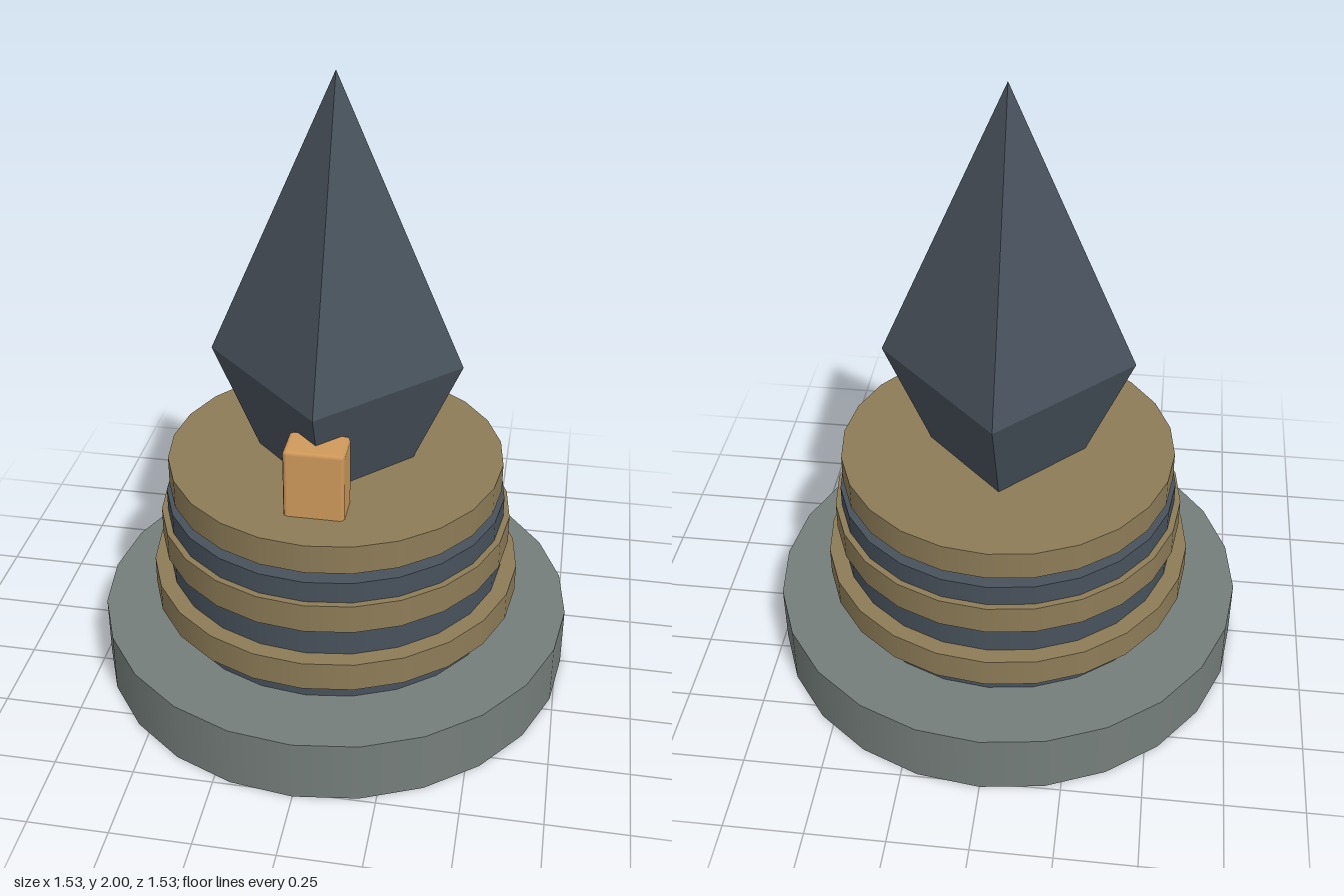
import * as THREE from 'three';
import { RoundedBoxGeometry } from 'three/addons/geometries/RoundedBoxGeometry.js';

const material = (name, color) => {
  const m = new THREE.MeshStandardMaterial({ color });
  m.name = name;
  return m;
};

export function createModel() {
  const stone = material('grey stone', 0x757e7b);
  const slate = material('dark slate', 0x48525c);
  const brass = material('aged brass', 0x8d7c57);
  const amber = material('amber', 0xd09a5a);

  const model = new THREE.Group();
  model.name = 'crystalPedestal';

  const add = (name, geometry, mat, y, z = 0) => {
    const mesh = new THREE.Mesh(geometry, mat);
    mesh.name = name;
    mesh.position.set(0, y, z);
    model.add(mesh);
    return mesh;
  };

  // Round tiers: name, radius, bottom, top, material
  const tiers = [
    ['base', 0.767, 0, 0.205, stone],
    ['column', 0.545, 0.205, 0.632, slate],
    ['lowerBand', 0.597, 0.275, 0.37, brass],
    ['middleBand', 0.565, 0.467, 0.562, brass],
    ['topPlate', 0.535, 0.66, 0.755, brass],
  ];
  for (const [name, r, bottom, top, mat] of tiers) {
    add(name, new THREE.CylinderGeometry(r, r, top - bottom, 24), mat, (bottom + top) / 2);
  }

  // Tall four-sided crystal, its lower tip sunk into the column
  const crystal = add('crystal', new THREE.OctahedronGeometry(1), slate, 1.09);
  crystal.scale.set(0.395, 0.91, 0.395);

  // Small bevelled block standing through the plate at the front
  add('frontBlock', new RoundedBoxGeometry(0.186, 0.35, 0.125, 1, 0.014), amber, 0.805, 0.332);

  return model;
}
